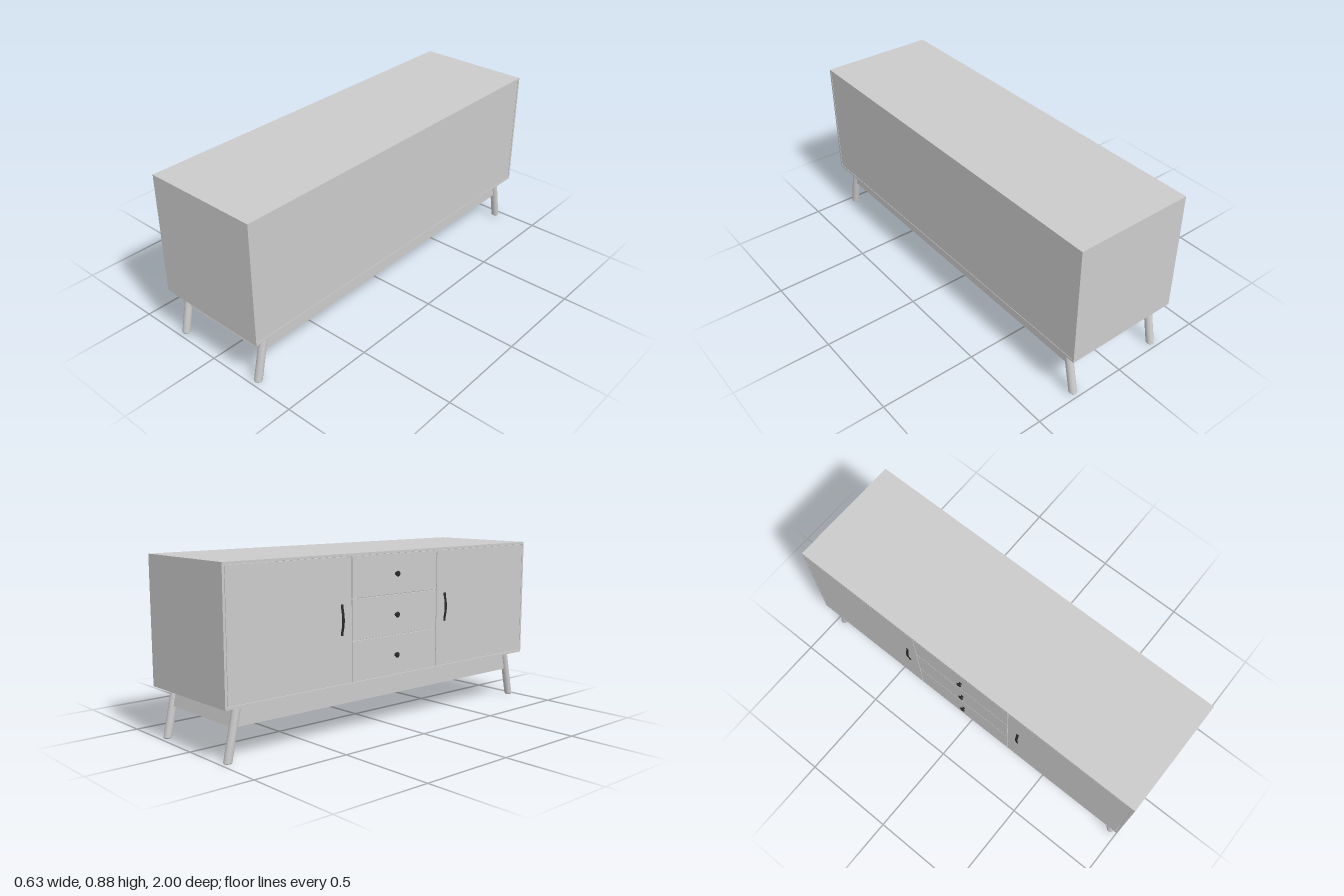
import * as THREE from 'three';

const wood = new THREE.MeshStandardMaterial({ color: 0xcccccc });
const metal = new THREE.MeshStandardMaterial({ color: 0x2a2a2a });

// Cabinet limits: doors face -x, length runs along z
const X0 = -0.3, X1 = 0.314, Y0 = 0.25, Y1 = 0.877, T = 0.012;
const GAP = 0.002, SPLIT = 0.288;
const LEAN = 0.212; // outward splay of the legs, z per unit of height
const LEG_Z = 0.91, LEG_X = [-0.25, 0.265], APRON_Y = 0.155;

export function createModel() {
  const root = new THREE.Group();

  const add = (name, geometry, material = wood) => {
    const mesh = new THREE.Mesh(geometry, material);
    mesh.name = name;
    root.add(mesh);
    return mesh;
  };

  // Box given by its low and high corners
  const panel = (name, x0, x1, y0, y1, z0, z1) => {
    const geometry = new THREE.BoxGeometry(x1 - x0, y1 - y0, z1 - z0);
    geometry.translate((x0 + x1) / 2, (y0 + y1) / 2, (z0 + z1) / 2);
    return add(name, geometry);
  };

  // Slant a part outward below the cabinet, keeping its ends level
  const splay = (geometry, side) => geometry.applyMatrix4(new THREE.Matrix4().set(
    1, 0, 0, 0,
    0, 1, 0, 0,
    0, -side * LEAN, 1, side * (LEG_Z + LEAN * Y0),
    0, 0, 0, 1));

  // Carcass
  panel('topPanel', X0, X1, Y1 - T, Y1, -1, 1);
  panel('bottomPanel', X0, X1, Y0, Y0 + T, -1, 1);
  const low = Y0 + T, high = Y1 - T;
  panel('leftPanel', X0, X1, low, high, 1 - T, 1);
  panel('rightPanel', X0, X1, low, high, -1, -1 + T);
  panel('backPanel', X1 - T, X1 - 0.002, low, high, -1 + T, 1 - T);
  for (const s of [-1, 1])
    panel('divider', X0 + T, X1 - T, low, high, s * SPLIT - T / 2, s * SPLIT + T / 2);

  // Doors
  for (const s of [-1, 1]) {
    const a = s * (SPLIT + GAP), b = s * (1 - T - GAP);
    panel('door', X0, X0 + T, low + GAP, high - GAP, Math.min(a, b), Math.max(a, b));
  }

  // Drawers with turned knobs
  const knobProfile = [[0.009, 0], [0.008, 0.002], [0.0055, 0.004], [0.006, 0.007],
    [0.013, 0.01], [0.0145, 0.012], [0.013, 0.015], [0.008, 0.017], [0, 0.0178]]
    .map(([r, h]) => new THREE.Vector2(r, h));
  const step = (high - low) / 3;
  for (let i = 0; i < 3; i++) {
    const y = low + i * step;
    panel('drawerFront', X0, X0 + T, y + GAP, y + step - GAP, -SPLIT + GAP, SPLIT - GAP);
    const knob = add('drawerKnob', new THREE.LatheGeometry(knobProfile, 24), metal);
    knob.rotation.z = Math.PI / 2;
    knob.position.set(X0, y + step / 2, 0);
  }

  // Bowed strap handles
  const bow = new THREE.Shape();
  bow.moveTo(0, -0.074);
  bow.lineTo(-0.003, -0.074);
  bow.lineTo(-0.003, -0.058);
  bow.quadraticCurveTo(-0.0205, 0, -0.003, 0.058);
  bow.lineTo(-0.003, 0.074);
  bow.lineTo(0, 0.074);
  bow.lineTo(0, 0.058);
  bow.quadraticCurveTo(-0.0165, 0, 0, -0.058);
  const handleGeometry = new THREE.ExtrudeGeometry(bow, {
    depth: 0.013, bevelEnabled: false, curveSegments: 16 });
  handleGeometry.translate(0, 0, -0.0065);
  for (const s of [-1, 1])
    add('doorHandle', handleGeometry, metal).position.set(X0, (low + high) / 2 + 0.006, s * 0.35);

  // Splayed legs with small foot pads, and the end aprons between them
  const apronH = Y0 - APRON_Y;
  for (const s of [-1, 1]) {
    for (const x of LEG_X) {
      const leg = new THREE.CylinderGeometry(0.02, 0.02, Y0 - 0.004, 32);
      leg.translate(x, (Y0 + 0.004) / 2, 0);
      add('leg', splay(leg, s));
      const foot = new THREE.CylinderGeometry(0.02, 0.0175, 0.004, 32);
      foot.translate(x, 0.002, 0);
      add('foot', splay(foot, s));
    }
    const end = new THREE.BoxGeometry(LEG_X[1] - LEG_X[0], apronH, T);
    end.translate((LEG_X[0] + LEG_X[1]) / 2, (Y0 + APRON_Y) / 2, 0);
    add('endApron', splay(end, s));
  }

  // Long aprons, wider at the bottom to meet the slanted legs
  const wide = LEG_Z + LEAN * apronH;
  const board = new THREE.Shape([[-wide, APRON_Y], [wide, APRON_Y], [LEG_Z, Y0], [-LEG_Z, Y0]]
    .map(([z, y]) => new THREE.Vector2(z, y)));
  const boardGeometry = new THREE.ExtrudeGeometry(board, { depth: T, bevelEnabled: false });
  boardGeometry.translate(0, 0, -T / 2);
  boardGeometry.rotateY(Math.PI / 2);
  for (const x of LEG_X) add('longApron', boardGeometry).position.x = x;

  return root;
}
